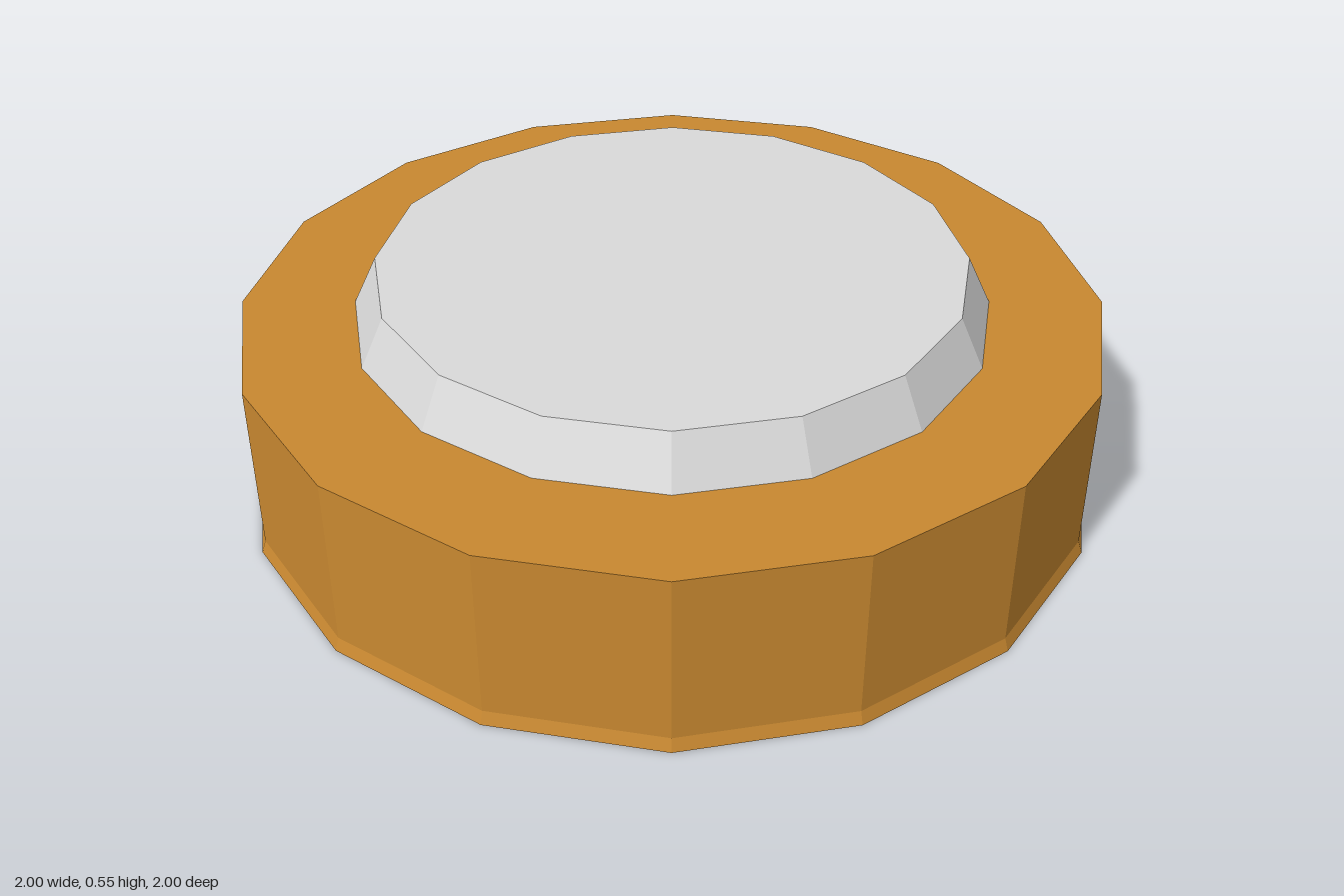
import * as THREE from 'three';

const SIDES = 16;

export function createModel() {
  const group = new THREE.Group();
  group.name = 'jarLid';

  const brass = new THREE.MeshStandardMaterial({ color: 0xc88830, flatShading: true });
  brass.name = 'brass';
  const silver = new THREE.MeshStandardMaterial({ color: 0xd9d9d9, flatShading: true });
  silver.name = 'silver';

  // Spins a [radius, height] profile, listed from underside to top, into a faceted ring
  function addTurned(name, material, profile) {
    const points = profile.map(([r, y]) => new THREE.Vector2(r, y));
    const mesh = new THREE.Mesh(new THREE.LatheGeometry(points, SIDES), material);
    mesh.name = name;
    group.add(mesh);
  }

  // Recess ceiling and inner wall
  addTurned('hollowInside', brass, [[0, 0.33], [0.955, 0.33], [0.955, 0.03], [0.963, 0]]);

  // Flat ring the lid stands on
  addTurned('bottomRim', silver, [[0.963, 0], [1, 0]]);

  // Outer wall with a slight flare at the foot, and the flat shoulder
  addTurned('outerBand', brass, [[1, 0], [0.99, 0.03], [0.99, 0.43], [0.73, 0.43]]);

  // Raised centre with bevelled edge
  addTurned('raisedCentre', silver, [[0.73, 0.43], [0.675, 0.545], [0, 0.545]]);

  return group;
}
